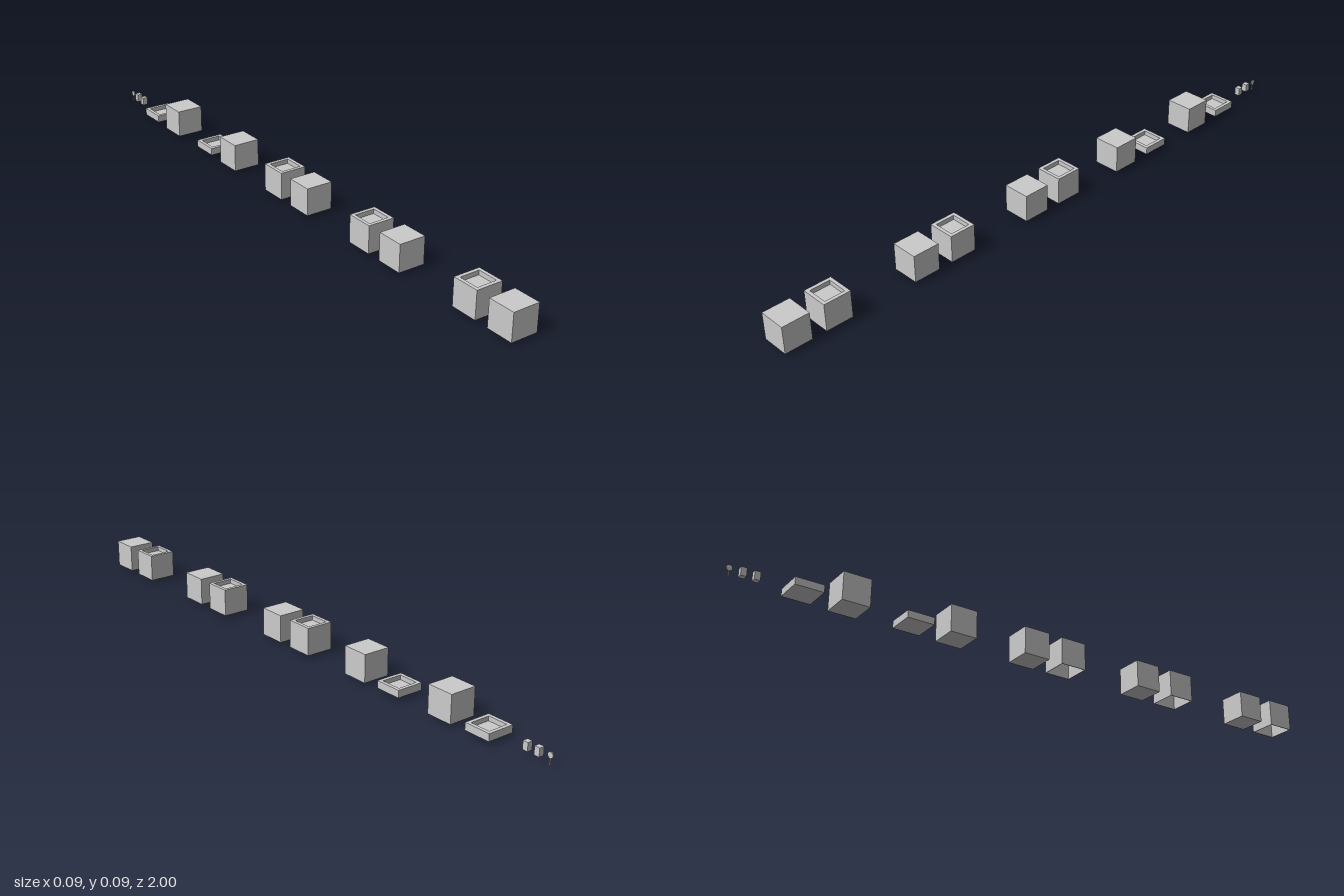
import * as THREE from 'three';

const material = new THREE.MeshStandardMaterial({ color: 0xcccccc, flatShading: true, side: THREE.DoubleSide });
const SIZE = 0.087; // edge of the large cubes
const BASE = 0.008; // underside of the large cubes

function mesh(name, geometry, x, y, z) {
  const m = new THREE.Mesh(geometry, material);
  m.name = name;
  m.position.set(x, y, z);
  return m;
}

function block(name, w, h, d, y, z) {
  return mesh(name, new THREE.BoxGeometry(w, h, d), 0, y + h / 2, z);
}

// Square upright tube, open above and below
function frame(name, size, wall, h, y, z) {
  const square = (Type, r) => new Type([
    new THREE.Vector2(-r, -r), new THREE.Vector2(r, -r),
    new THREE.Vector2(r, r), new THREE.Vector2(-r, r),
  ]);
  const shape = square(THREE.Shape, size / 2);
  shape.holes.push(square(THREE.Path, size / 2 - wall));
  const geometry = new THREE.ExtrudeGeometry(shape, { depth: h, bevelEnabled: false });
  geometry.rotateX(-Math.PI / 2);
  return mesh(name, geometry, 0, y, z);
}

// Cover: closed top, thin walls, open underside
function cover(z) {
  const g = new THREE.Group();
  g.name = 'cover';
  const plate = 0.002;
  g.add(frame('coverWalls', SIZE, 0.002, SIZE - plate, BASE, z));
  g.add(block('coverTop', SIZE, plate, SIZE, BASE + SIZE - plate, z));
  return g;
}

// Solid body with a shallow square recess in its top
function recessed(name, h, depth, y, z) {
  const g = new THREE.Group();
  g.name = name;
  g.add(block(name + 'Body', SIZE, h - depth, SIZE, y, z));
  g.add(frame(name + 'Rim', SIZE, 0.011, depth, y + h - depth, z));
  return g;
}

export function createModel() {
  const model = new THREE.Group();
  model.name = 'boxSet';

  // Three covers, each with a recessed box behind it
  for (const [front, back] of [[0.956, 0.824], [0.521, 0.387], [0.096, -0.038]]) {
    model.add(cover(front));
    model.add(recessed('recessedBox', SIZE, 0.014, BASE, back));
  }

  // Two closed boxes, each with a low tray behind it
  for (const [front, back] of [[-0.294, -0.435], [-0.639, -0.779]]) {
    model.add(block('closedBox', SIZE, SIZE, SIZE, BASE, front));
    model.add(recessed('tray', 0.023, 0.014, 0.012, back));
  }

  // Two small blocks
  for (const z of [-0.914, -0.953]) {
    model.add(block('smallBlock', 0.017, 0.026, 0.017, 0.012, z));
  }

  // Thin upright disc on a stem
  const disc = new THREE.CylinderGeometry(0.009, 0.009, 0.003, 16);
  disc.rotateZ(Math.PI / 2);
  model.add(mesh('discHead', disc, 0, 0.028, -0.991));
  model.add(block('discStem', 0.003, 0.02, 0.003, 0, -0.991));

  return model;
}
